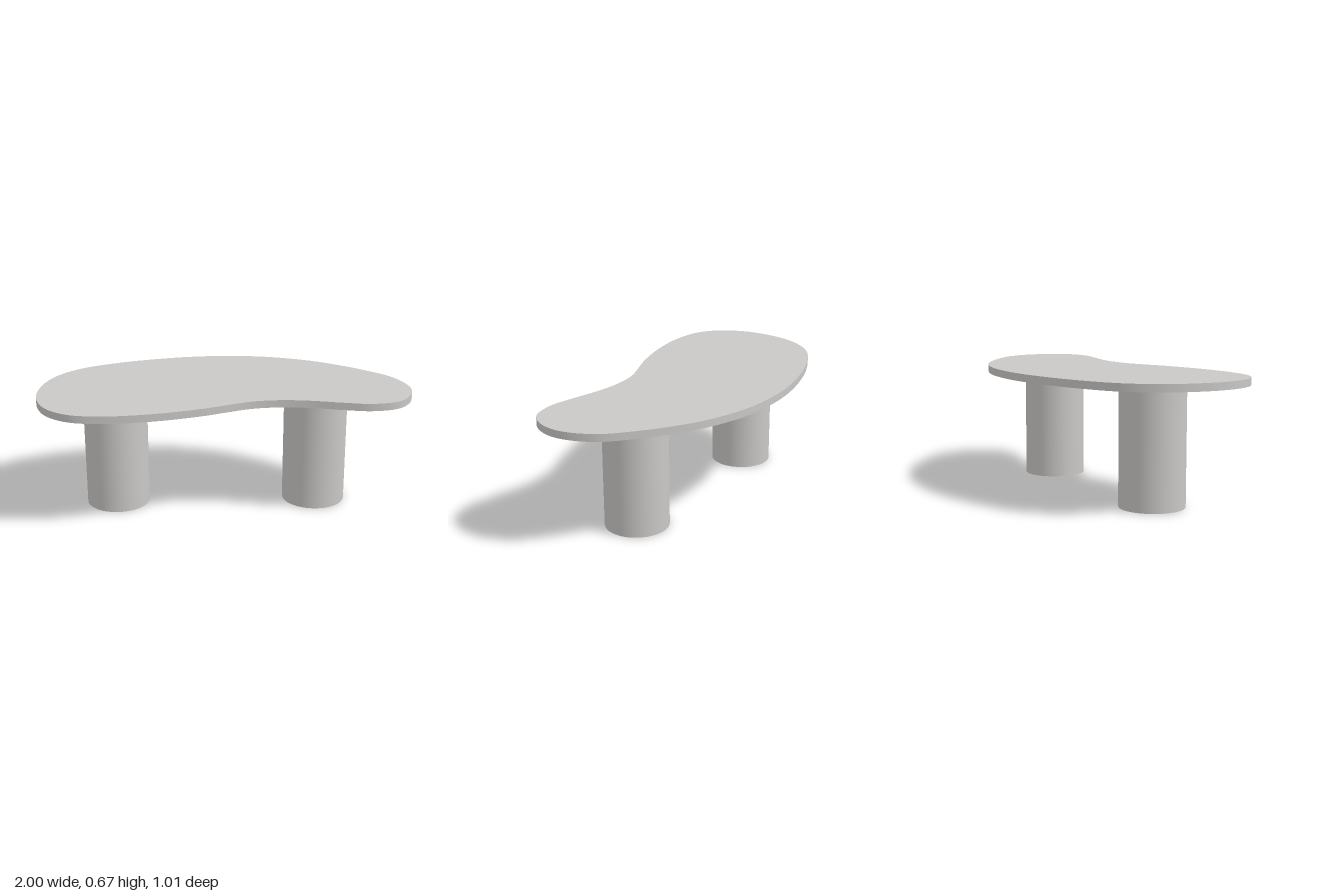
import * as THREE from 'three';
import { toCreasedNormals } from 'three/addons/utils/BufferGeometryUtils.js';

export function createModel() {
  const group = new THREE.Group();
  group.name = 'table';

  const stone = new THREE.MeshStandardMaterial({ color: 0xcac8c6 });
  stone.name = 'warm grey';

  const legHeight = 0.63, topThickness = 0.04;

  // Kidney-shaped outline of the top as (x, z) points
  const outline = [
    [0, -0.51], [0.25, -0.485], [0.5, -0.4], [0.66, -0.306], [0.8, -0.2],
    [0.94, -0.055], [0.998, 0.12], [0.97, 0.25], [0.89, 0.343], [0.75, 0.375],
    [0.6, 0.35], [0.42, 0.309], [0.27, 0.296], [0.13, 0.312], [0, 0.36],
    [-0.13, 0.412], [-0.37, 0.477], [-0.61, 0.503], [-0.8, 0.475], [-0.92, 0.385],
    [-0.98, 0.265], [-1, 0.14], [-0.98, -0.03], [-0.92, -0.17], [-0.8, -0.296],
    [-0.6, -0.395], [-0.4, -0.457], [-0.2, -0.497],
  ];
  const curve = new THREE.CatmullRomCurve3(
    outline.map(([x, z]) => new THREE.Vector3(x, -z, 0)), true);
  const points = curve.getPoints(168).slice(0, -1).map(p => new THREE.Vector2(p.x, p.y));

  // Flat slab with a smooth rim and sharp edges
  const slab = new THREE.ExtrudeGeometry(new THREE.Shape(points), {
    depth: topThickness, bevelEnabled: false,
  });
  slab.rotateX(-Math.PI / 2);
  const top = new THREE.Mesh(toCreasedNormals(slab, 0.6), stone);
  top.name = 'tabletop';
  top.position.y = legHeight;
  group.add(top);

  // Two thick round legs
  const legGeometry = new THREE.CylinderGeometry(0.173, 0.173, legHeight, 64);
  for (const [name, x] of [['rightLeg', -0.595], ['leftLeg', 0.5]]) {
    const leg = new THREE.Mesh(legGeometry, stone);
    leg.name = name;
    leg.position.set(x, legHeight / 2, 0.027);
    group.add(leg);
  }
  return group;
}
